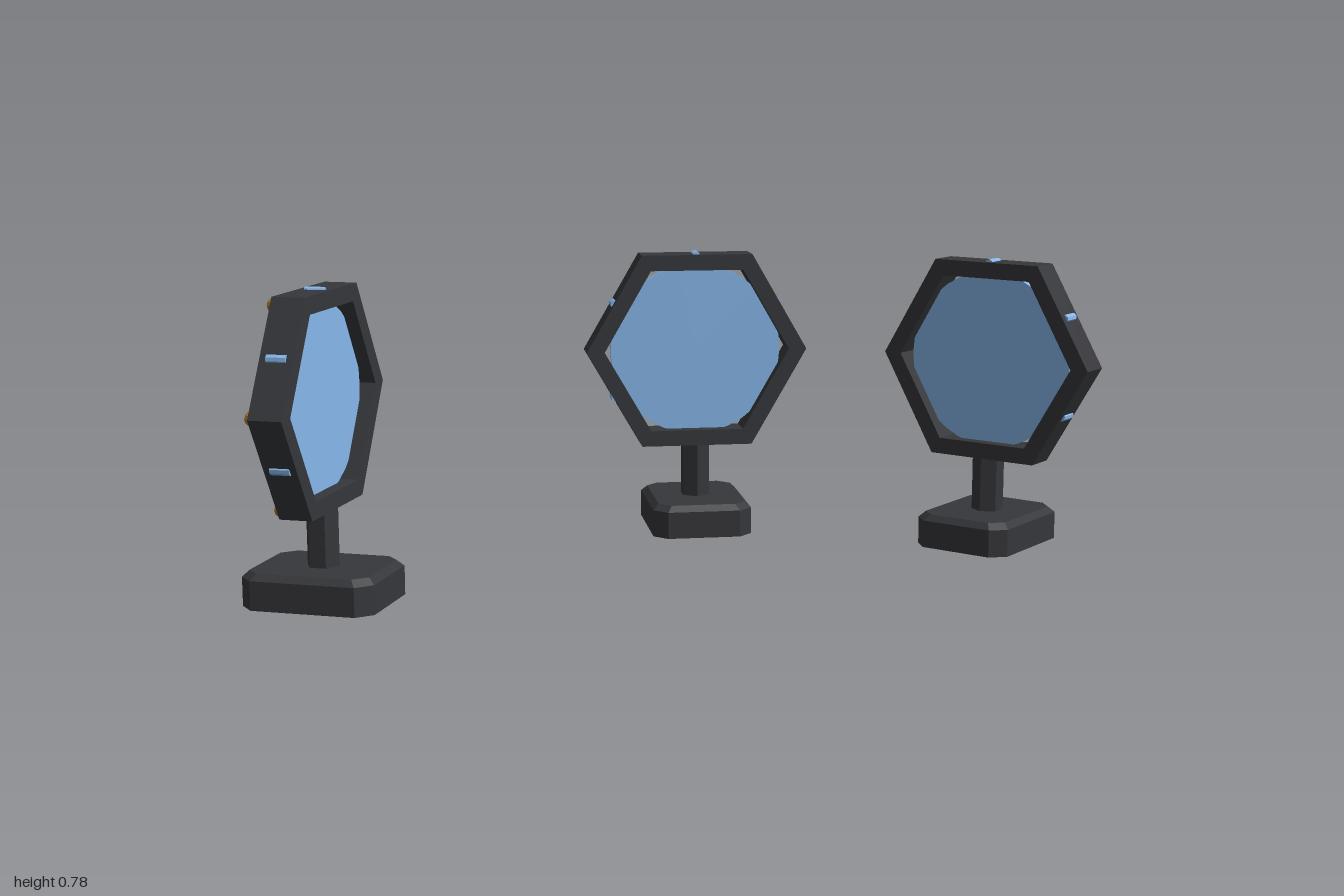
import * as THREE from 'three';

const material = (color) => new THREE.MeshStandardMaterial({ color, flatShading: true });

const FRAME_Y = 0.505;   // height of the frame's centre
const OUTER = 0.31;      // frame corner radius, outside
const INNER = 0.26;      // frame corner radius, inside
const DEPTH = 0.085;     // frame depth

function hexPoints(radius) {
  return Array.from({ length: 6 }, (_, i) => {
    const a = (i * Math.PI) / 3;
    return new THREE.Vector2(radius * Math.cos(a), radius * Math.sin(a));
  });
}

// Slab with cut corners and a bevelled top edge
function baseGeometry(w, d, h, cut, bevel) {
  const x = w / 2, y = d / 2;
  const shape = new THREE.Shape([
    [x, y - cut], [x - cut, y], [cut - x, y], [-x, y - cut],
    [-x, cut - y], [cut - x, -y], [x - cut, -y], [x, cut - y],
  ].map(([px, py]) => new THREE.Vector2(px, py)));
  const geo = new THREE.ExtrudeGeometry(shape, { depth: h, steps: 2, bevelEnabled: false });
  const pos = geo.attributes.position;
  for (let i = 0; i < pos.count; i++) {
    const z = pos.getZ(i);
    if (z > h * 0.75) {
      pos.setX(i, pos.getX(i) * (1 - bevel / x));
      pos.setY(i, pos.getY(i) * (1 - bevel / y));
    } else if (z > h * 0.25) {
      pos.setZ(i, h - bevel);
    }
  }
  geo.rotateX(-Math.PI / 2);
  geo.computeVertexNormals();
  return geo;
}

function frameGeometry() {
  const shape = new THREE.Shape(hexPoints(OUTER));
  shape.holes.push(new THREE.Path(hexPoints(INNER).reverse()));
  return new THREE.ExtrudeGeometry(shape, { depth: DEPTH, bevelEnabled: false })
    .translate(0, 0, -DEPTH / 2);
}

export function createModel() {
  const model = new THREE.Group();
  model.name = 'hexagonalMirrors';

  const dark = material(0x36373b);
  const brass = material(0xb07a22);
  const glass = material(0x88b8ec);

  const geo = {
    base: baseGeometry(0.275, 0.345, 0.09, 0.037, 0.016),
    post: new THREE.CylinderGeometry(0.0425, 0.0425, 0.17, 6),
    frame: frameGeometry(),
    pane: new THREE.CylinderGeometry(0.24, 0.24, 0.015, 32).rotateX(Math.PI / 2),
    stud: new THREE.SphereGeometry(0.018, 8, 6),
    marker: new THREE.CylinderGeometry(0.012, 0.012, 0.05, 8).rotateX(Math.PI / 2),
  };

  function add(parent, name, geometry, mat, x, y, z) {
    const mesh = new THREE.Mesh(geometry, mat);
    mesh.name = name;
    mesh.position.set(x, y, z);
    parent.add(mesh);
    return mesh;
  }

  // One mirror on its stand, facing +z
  function mirrorStand(name, x, z, turn) {
    const stand = new THREE.Group();
    stand.name = name;
    add(stand, 'base', geo.base, dark, 0, 0, 0);
    add(stand, 'post', geo.post, dark, 0, 0.16, 0);

    const head = new THREE.Group();
    head.name = 'mirrorHead';
    head.position.y = FRAME_Y;
    add(head, 'frame', geo.frame, dark, 0, 0, 0);
    add(head, 'pane', geo.pane, glass, 0, 0, 0);

    // Brass studs at the corners of the back
    hexPoints((OUTER + INNER) / 2).forEach((p) =>
      add(head, 'stud', geo.stud, brass, p.x, p.y, -DEPTH / 2));

    // Blue markers in the outer sides; the post covers the bottom one
    const apothem = OUTER * Math.cos(Math.PI / 6);
    for (let i = 0; i < 6; i++) {
      if (i === 4) continue;
      const a = (i + 0.5) * Math.PI / 3;
      const r = apothem - 0.005;
      add(head, 'marker', geo.marker, glass, r * Math.cos(a), r * Math.sin(a), 0)
        .rotation.z = a;
    }

    stand.add(head);
    stand.position.set(x, 0, z);
    stand.rotation.y = turn;
    model.add(stand);
  }

  mirrorStand('rightMirror', -0.828, 0.457, Math.PI / 2);
  mirrorStand('middleMirror', -0.137, -0.57, Math.PI / 8);
  mirrorStand('leftMirror', 0.692, -0.57, -Math.PI / 8);

  return model;
}
